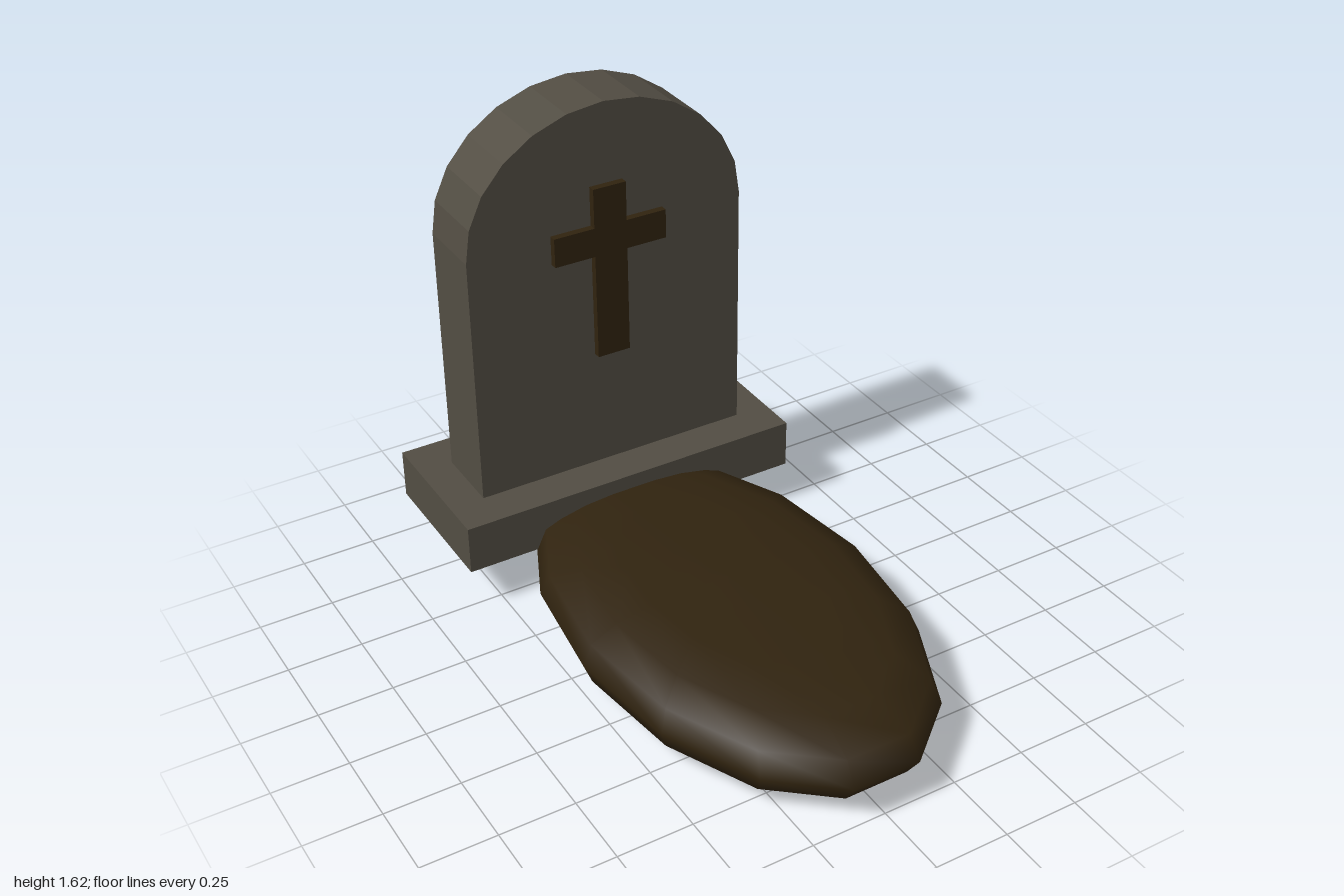
import * as THREE from 'three';

const stone = new THREE.MeshStandardMaterial({ color: 0x524d43 });
stone.name = 'greyStone';
const earth = new THREE.MeshStandardMaterial({ color: 0x30230f });
earth.name = 'darkEarth';

function add(group, name, geometry, material, x, y, z) {
  const mesh = new THREE.Mesh(geometry, material);
  mesh.name = name;
  mesh.position.set(x, y, z);
  group.add(mesh);
  return mesh;
}

export function createModel() {
  const model = new THREE.Group();
  model.name = 'gravestone';

  // Plinth under the headstone
  add(model, 'plinth', new THREE.BoxGeometry(1.22, 0.17, 0.52), stone, 0, 0.235, -0.74);

  // Round-topped headstone: straight sides and a half ellipse in twelve steps
  const outline = [new THREE.Vector2(-0.49, 0.3), new THREE.Vector2(0.49, 0.3)];
  for (let i = 0; i <= 12; i++) {
    const a = (i / 12) * Math.PI;
    outline.push(new THREE.Vector2(0.49 * Math.cos(a), 1.19 + 0.43 * Math.sin(a)));
  }
  const slab = new THREE.ExtrudeGeometry(new THREE.Shape(outline), { depth: 0.245, bevelEnabled: false });
  add(model, 'headstone', slab, stone, 0, 0, -0.86);

  // Raised cross on the front
  const cross = new THREE.Shape([
    [-0.058, 0.74], [0.058, 0.74], [0.058, 1.11], [0.2, 1.11], [0.2, 1.21], [0.058, 1.21],
    [0.058, 1.345], [-0.058, 1.345], [-0.058, 1.21], [-0.2, 1.21], [-0.2, 1.11], [-0.058, 1.11],
  ].map(([x, y]) => new THREE.Vector2(x, y)));
  add(model, 'cross', new THREE.ExtrudeGeometry(cross, { depth: 0.035, bevelEnabled: false }),
    earth, 0, 0, -0.625);

  // Smooth earth mound: fourteen-sided flattened ball, stretched along z
  const upper = [[1, 0], [0.945, 0.073], [0.775, 0.115], [0.52, 0.138], [0, 0.145]];
  const lower = upper.slice(1).reverse().map(([r, y]) => [r, -y]);
  const profile = [...lower, ...upper].map(([r, y]) => new THREE.Vector2(r, y));
  const mound = new THREE.LatheGeometry(profile, 14, Math.PI / 14, Math.PI * 2);
  mound.scale(0.517, 1, 0.9);
  add(model, 'earthMound', mound, earth, 0, 0.145, 0.122);

  return model;
}
